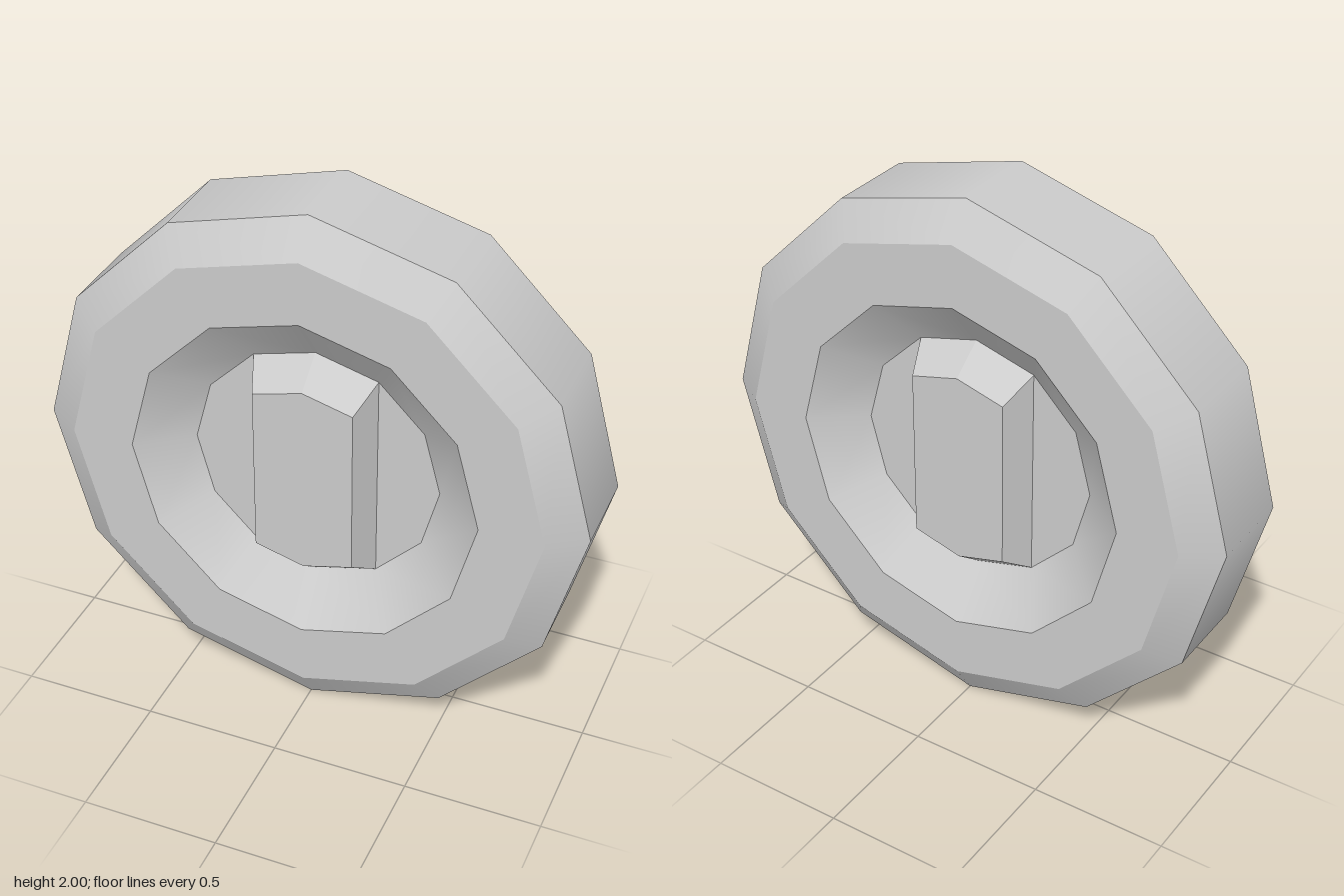
import * as THREE from 'three';
import { mergeGeometries } from 'three/addons/utils/BufferGeometryUtils.js';
import { ConvexGeometry } from 'three/addons/geometries/ConvexGeometry.js';

const SIDES = 12;
const FLOOR_R = 0.455, FLOOR_Z = 0.11, GRIP_Z = 0.228;

// Each band is its own lathe: smooth around the ring, sharp between bands.
function discGeometry() {
  const front = [[1, 0.165], [0.87, 0.25], [0.64, 0.25], [FLOOR_R, FLOOR_Z], [0, FLOOR_Z]];
  const back = front.map(([r, z]) => [r, -z]).reverse();
  const profile = [...back, ...front].map(([r, z]) => new THREE.Vector2(r, z));
  const bands = [];
  for (let i = 0; i < profile.length - 1; i++) {
    bands.push(new THREE.LatheGeometry([profile[i], profile[i + 1]], SIDES));
  }
  return mergeGeometries(bands).rotateX(Math.PI / 2);
}

// Six-sided raised bar whose corners meet the corners of the recess floor.
function gripGeometry() {
  const points = [];
  for (const [r, z] of [[FLOOR_R, FLOOR_Z], [FLOOR_R * 0.8, GRIP_Z]]) {
    for (const degrees of [-30, 0, 30, 150, 180, 210]) {
      const a = THREE.MathUtils.degToRad(degrees);
      points.push(new THREE.Vector3(r * Math.sin(a), r * Math.cos(a), z));
    }
  }
  return new ConvexGeometry(points);
}

export function createModel() {
  const model = new THREE.Group();
  model.name = 'dial';
  const material = new THREE.MeshStandardMaterial({ color: 0xcccccc });

  const add = (name, geometry) => {
    const mesh = new THREE.Mesh(geometry, material);
    mesh.name = name;
    mesh.position.y = 1;
    model.add(mesh);
    return mesh;
  };

  // Chamfered disc, dished on both faces
  add('disc', discGeometry());

  // Matching grip bar on each face
  const grip = gripGeometry();
  add('frontGrip', grip);
  add('backGrip', grip).rotation.y = Math.PI;

  return model;
}
